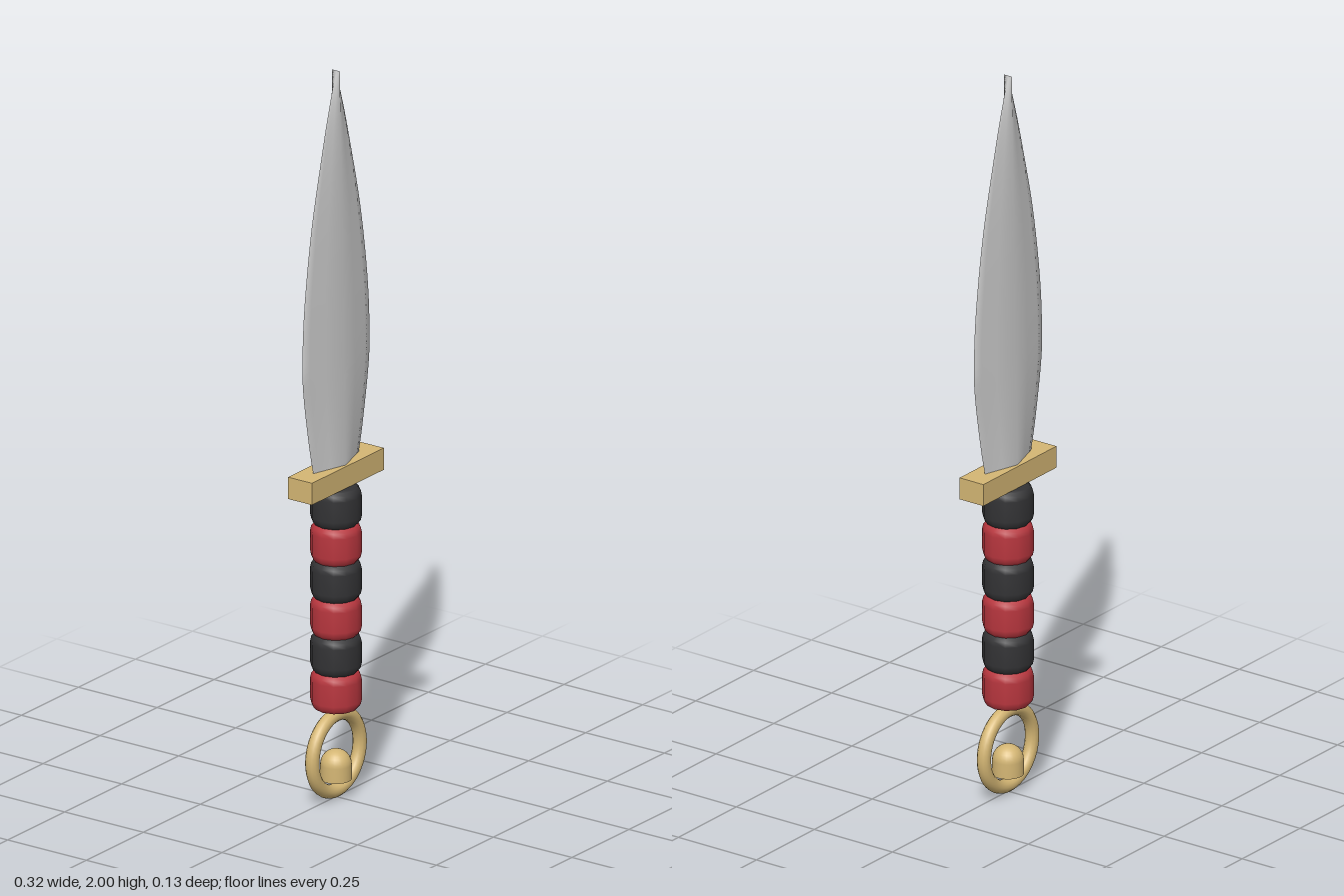
import * as THREE from 'three';

const mat = (color) => new THREE.MeshStandardMaterial({ color });

// Leaf-shaped blade lofted from diamond cross-sections
function bladeGeometry(y0, y1) {
  const outline = new THREE.SplineCurve([
    [0.1, 0.92], [0.118, 1.0], [0.143, 1.15], [0.147, 1.25], [0.137, 1.4],
    [0.106, 1.6], [0.058, 1.8], [0.031, 1.9], [0, 2],
  ].map(([x, y]) => new THREE.Vector2(x, y)));
  const half = [1, 0.82, 0.45, 0, -0.45, -0.82];
  const section = [
    ...half.map((u) => [u, 1 - Math.abs(u)]),
    ...half.map((u) => [-u, Math.abs(u) - 1]),
  ];
  const n = section.length, rows = 40, pos = [], idx = [];
  for (let r = 0; r <= rows; r++) {
    const p = outline.getPoint(r / rows);
    const thick = THREE.MathUtils.mapLinear(p.y, y0, y1, 0.031, 0.012);
    section.forEach(([u, v]) => pos.push(u * p.x, p.y, v * thick));
  }
  for (let r = 0; r < rows; r++) {
    for (let i = 0; i < n; i++) {
      const a = r * n + i, b = r * n + (i + 1) % n;
      idx.push(a, a + n, b, b, a + n, b + n);
    }
  }
  // flat bottom with its own vertices
  const base = pos.length / 3;
  pos.push(...pos.slice(0, n * 3), 0, y0, 0);
  for (let i = 0; i < n; i++) idx.push(base + n, base + i, base + (i + 1) % n);
  const geo = new THREE.BufferGeometry();
  geo.setAttribute('position', new THREE.Float32BufferAttribute(pos, 3));
  geo.setIndex(idx);
  geo.computeVertexNormals();
  return geo;
}

// Lathe from [radius, height] pairs, listed bottom to top
const lathe = (pts, sides) =>
  new THREE.LatheGeometry(pts.map(([x, y]) => new THREE.Vector2(x, y)), sides);

export function createModel() {
  const model = new THREE.Group();
  const gold = mat(0xd4b674), red = mat(0xb8363e), black = mat(0x333335);
  const add = (name, geo, material, y = 0) => {
    const mesh = new THREE.Mesh(geo, material);
    mesh.name = name;
    mesh.position.y = y;
    model.add(mesh);
    return mesh;
  };

  add('blade', bladeGeometry(0.92, 2), mat(0xcccccc));
  add('guard', new THREE.BoxGeometry(0.316, 0.06, 0.076), gold, 0.89);

  // Grip of alternating rounded bands
  const band = lathe([
    [0, -0.054], [0.046, -0.054], [0.057, -0.05], [0.064, -0.041], [0.067, -0.028],
    [0.067, 0.028], [0.064, 0.041], [0.057, 0.05], [0.046, 0.054], [0, 0.054],
  ], 12);
  for (let i = 0; i < 6; i++) {
    add(`gripBand${i + 1}`, band, i % 2 ? black : red, 0.298 + i * 0.1015);
  }

  // Pommel ring with a domed stud inside
  add('pommelRing', new THREE.TorusGeometry(0.104, 0.0185, 12, 48), gold, 0.1225);
  const dome = [];
  for (let i = 0; i <= 8; i++) {
    const a = (i / 8) * Math.PI / 2;
    dome.push([0.041 * Math.cos(a), 0.04 + 0.041 * Math.sin(a)]);
  }
  add('pommelStud', lathe([[0, 0], [0.041, 0], [0.041, 0], ...dome], 24), gold, 0.05);

  return model;
}
